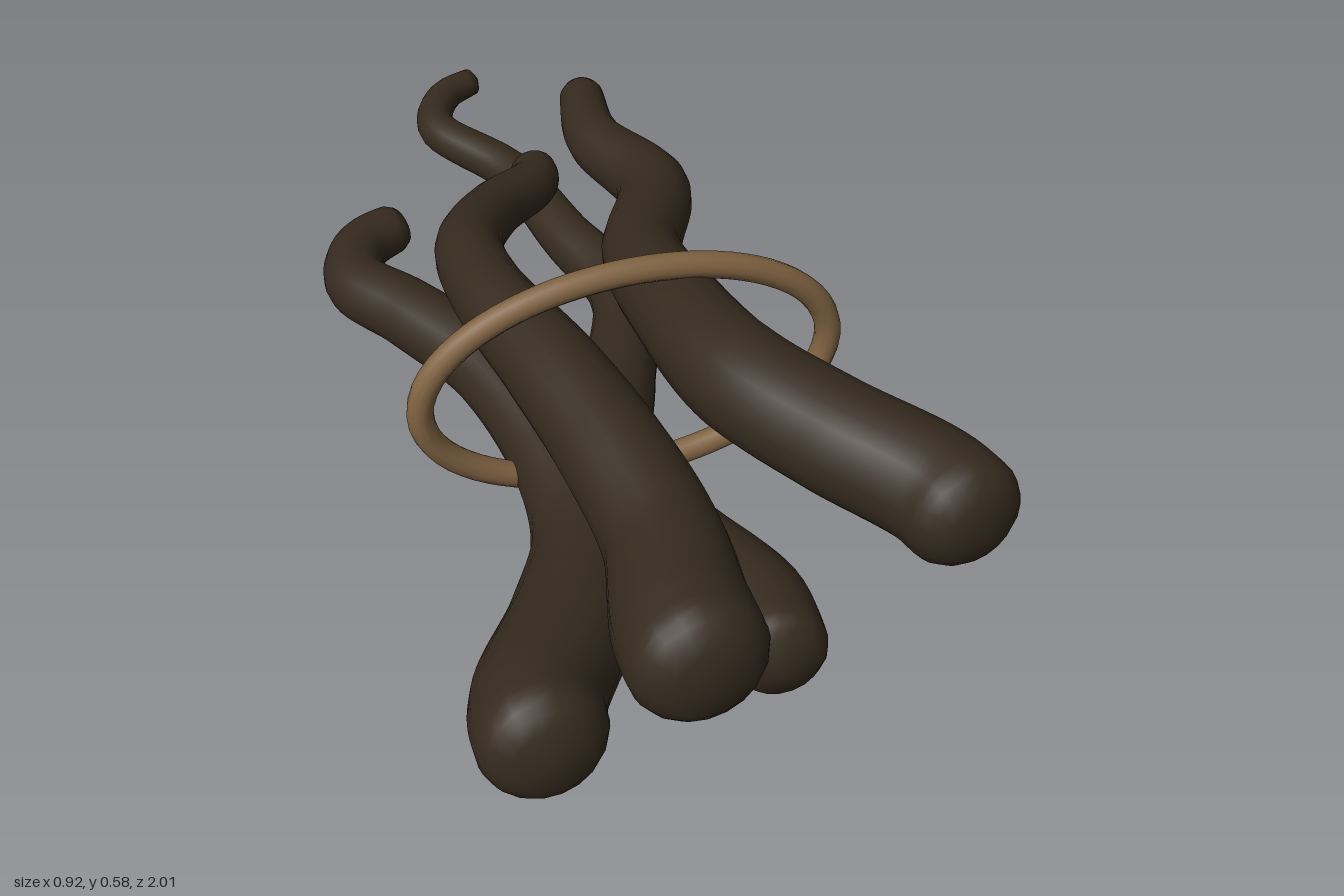
import * as THREE from 'three';
import { mergeVertices } from 'three/addons/utils/BufferGeometryUtils.js';

// Each branch: [x, y, z, radius] from thick front end to thin back tip
const BRANCHES = {
  upperLeftBranch: [
    [0.365, 0.43, 0.96, 0.105], [0.34, 0.435, 0.84, 0.104], [0.22, 0.45, 0.67, 0.102], [0.125, 0.46, 0.5, 0.1],
    [0.095, 0.44, 0.25, 0.088], [0.11, 0.4, 0.02, 0.078], [0.218, 0.37, -0.23, 0.075],
    [0.165, 0.365, -0.45, 0.059], [0.195, 0.37, -0.65, 0.046]],
  upperRightBranch: [
    [-0.1, 0.27, 1.0, 0.125], [-0.1, 0.27, 0.85, 0.123], [-0.075, 0.29, 0.67, 0.105], [-0.1, 0.325, 0.45, 0.098],
    [-0.14, 0.35, 0.25, 0.09], [-0.193, 0.36, 0.0, 0.074], [-0.185, 0.35, -0.17, 0.068],
    [-0.09, 0.315, -0.33, 0.06], [0.03, 0.285, -0.45, 0.053], [0.045, 0.275, -0.53, 0.048]],
  longBranch: [
    [0.035, 0.22, 0.96, 0.087], [0.05, 0.22, 0.8, 0.088], [0.0, 0.195, 0.62, 0.086], [-0.045, 0.168, 0.45, 0.084],
    [-0.03, 0.152, 0.27, 0.079], [0.045, 0.145, 0.08, 0.074], [0.14, 0.145, -0.18, 0.068],
    [0.085, 0.165, -0.4, 0.056], [0.03, 0.19, -0.64, 0.048], [-0.088, 0.21, -0.84, 0.043],
    [-0.045, 0.225, -0.94, 0.037], [0.05, 0.23, -0.99, 0.03]],
  lowerRightBranch: [
    [-0.355, 0.145, 0.97, 0.113], [-0.345, 0.13, 0.83, 0.116], [-0.225, 0.112, 0.64, 0.112], [-0.135, 0.108, 0.45, 0.106],
    [-0.135, 0.145, 0.25, 0.092], [-0.2, 0.19, 0.02, 0.078], [-0.31, 0.21, -0.17, 0.071],
    [-0.39, 0.21, -0.31, 0.066], [-0.355, 0.215, -0.42, 0.058], [-0.25, 0.22, -0.475, 0.05]],
};

// Tapered tube with rounded ends
function branchGeometry(points) {
  const segments = 100, sides = 18;
  const curve = new THREE.CatmullRomCurve3(points.map(([x, y, z]) => new THREE.Vector3(x, y, z)));
  const length = curve.getLength();
  const geometry = new THREE.TubeGeometry(curve, segments, 1, sides);
  const position = geometry.attributes.position;
  const vertex = new THREE.Vector3();
  for (let i = 0; i <= segments; i++) {
    const u = i / segments;
    const centre = curve.getPointAt(u);
    const k = curve.getUtoTmapping(u) * (points.length - 1);
    const a = Math.min(Math.floor(k), points.length - 2);
    let radius = THREE.MathUtils.lerp(points[a][3], points[a + 1][3], k - a);
    const cap = Math.min(1, Math.min(u, 1 - u) * length / (radius * 0.75));
    radius *= Math.sqrt(Math.max(0, 1 - (1 - cap) ** 2));
    for (let j = 0; j <= sides; j++) {
      const n = i * (sides + 1) + j;
      vertex.fromBufferAttribute(position, n).sub(centre).multiplyScalar(radius).add(centre);
      position.setXYZ(n, vertex.x, vertex.y, vertex.z);
    }
  }
  geometry.deleteAttribute('uv');
  geometry.deleteAttribute('normal');
  const merged = mergeVertices(geometry, 1e-5);
  merged.computeVertexNormals();
  return merged;
}

export function createModel() {
  const group = new THREE.Group();
  const darkWood = new THREE.MeshStandardMaterial({ color: 0x352a1e });
  darkWood.name = 'darkWood';
  const tanCord = new THREE.MeshStandardMaterial({ color: 0x806342 });
  tanCord.name = 'tanCord';

  for (const [name, points] of Object.entries(BRANCHES)) {
    const branch = new THREE.Mesh(branchGeometry(points), darkWood);
    branch.name = name;
    group.add(branch);
  }

  // Oval ring around the bundle
  const oval = new THREE.EllipseCurve(0, 0.325, 0.395, 0.23).getPoints(48).slice(0, -1);
  const path = new THREE.CatmullRomCurve3(oval.map((p) => new THREE.Vector3(p.x, p.y, 0.27)), true);
  const ring = new THREE.Mesh(new THREE.TubeGeometry(path, 72, 0.025, 12, true), tanCord);
  ring.name = 'bindingRing';
  group.add(ring);
  return group;
}
